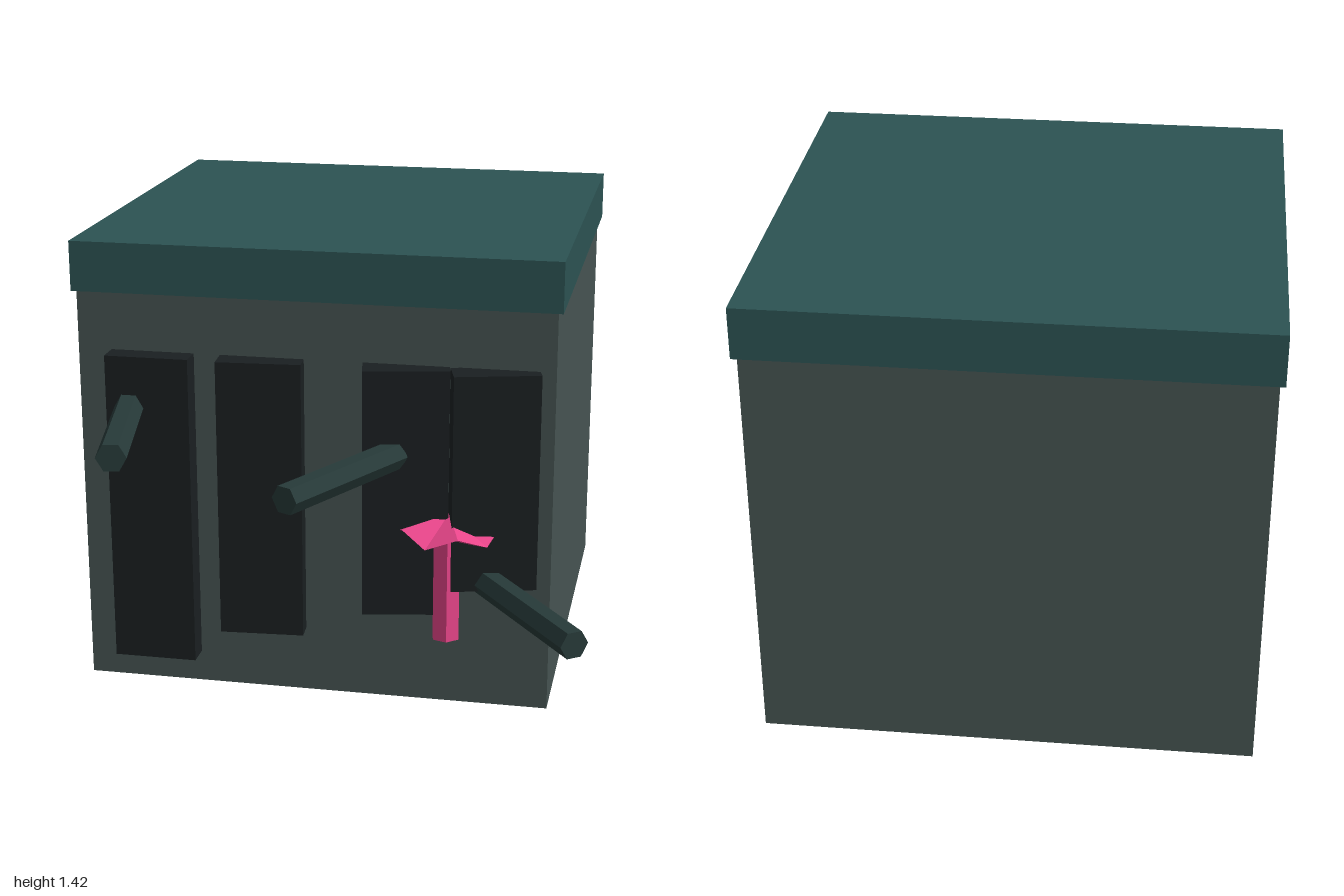
import * as THREE from 'three';

const material = (color) => new THREE.MeshStandardMaterial({ color, flatShading: true });

export function createModel() {
  const model = new THREE.Group();
  const stone = material(0x465452), moss = material(0x2c5353);
  const darkWood = material(0x1a1f21), bark = material(0x273a39), pink = material(0xe8458a);

  const add = (name, geometry, mat) => {
    const mesh = new THREE.Mesh(geometry, mat);
    mesh.name = name;
    model.add(mesh);
    return mesh;
  };
  // Box given by its lower and upper corners
  const block = (name, mat, [x0, y0, z0], [x1, y1, z1]) =>
    add(name, new THREE.BoxGeometry(x1 - x0, y1 - y0, z1 - z0), mat)
      .position.set((x0 + x1) / 2, (y0 + y1) / 2, (z0 + z1) / 2);

  // Main cube and the slab on top
  block('body', stone, [-0.81, 0, -0.985], [0.66, 1.265, 0.435]);
  block('topSlab', moss, [-0.825, 1.265, -1], [0.675, 1.42, 0.445]);

  // Hanging planks: front left corner x and z, bottom height, turn about y
  const top = 1.085, depth = 0.1;
  [
    [-0.705, 0.51, 0.1, 0],
    [-0.357, 0.518, 0.21, 0.07],
    [0.095, 0.53, 0.31, 0.18],
    [0.37, 0.54, 0.41, 0.25],
  ].forEach(([x, z, bottom, turn], i) => {
    const geometry = new THREE.BoxGeometry(0.26, top - bottom, depth);
    geometry.translate(0.13, (top + bottom) / 2, -depth / 2);
    const plank = add(`plank${i + 1}`, geometry, darkWood);
    plank.position.set(x, 0, z);
    plank.rotation.y = turn;
  });

  // Six-sided sticks: height, root x and z, tip x and z
  [
    [0.925, -0.645, 0.45, -0.535, 0.985],
    [0.82, 0.19, 0.49, -0.045, 0.95],
    [0.43, 0.435, 0.44, 0.775, 0.905],
  ].forEach(([y, x0, z0, x1, z1], i) => {
    const dx = x1 - x0, dz = z1 - z0;
    const geometry = new THREE.CylinderGeometry(0.045, 0.045, Math.hypot(dx, dz), 6);
    geometry.rotateY(Math.PI / 6).rotateX(Math.PI / 2);
    const stick = add(`stick${i + 1}`, geometry, bark);
    stick.position.set((x0 + x1) / 2, y, (z0 + z1) / 2);
    stick.rotation.y = Math.atan2(dx, dz);
  });

  // Mushroom stem
  const stem = add('mushroomStem', new THREE.CylinderGeometry(0.045, 0.045, 0.33, 6), pink);
  stem.position.set(0.348, 0.405, 0.49);
  stem.rotation.y = 0.2;

  // Mushroom cap: flat double cone with a zigzag rim
  const capGeometry = new THREE.SphereGeometry(0.16, 10, 2);
  const p = capGeometry.attributes.position;
  for (let i = 0; i < p.count; i++) {
    const y = p.getY(i);
    if (Math.abs(y) > 0.1) p.setY(i, Math.sign(y) * 0.045);
    else p.setY(i, (i % 11) % 2 ? -0.02 : 0.018);
  }
  capGeometry.rotateY(Math.PI);
  capGeometry.computeVertexNormals();
  add('mushroomCap', capGeometry, pink).position.set(0.35, 0.587, 0.46);

  return model;
}
